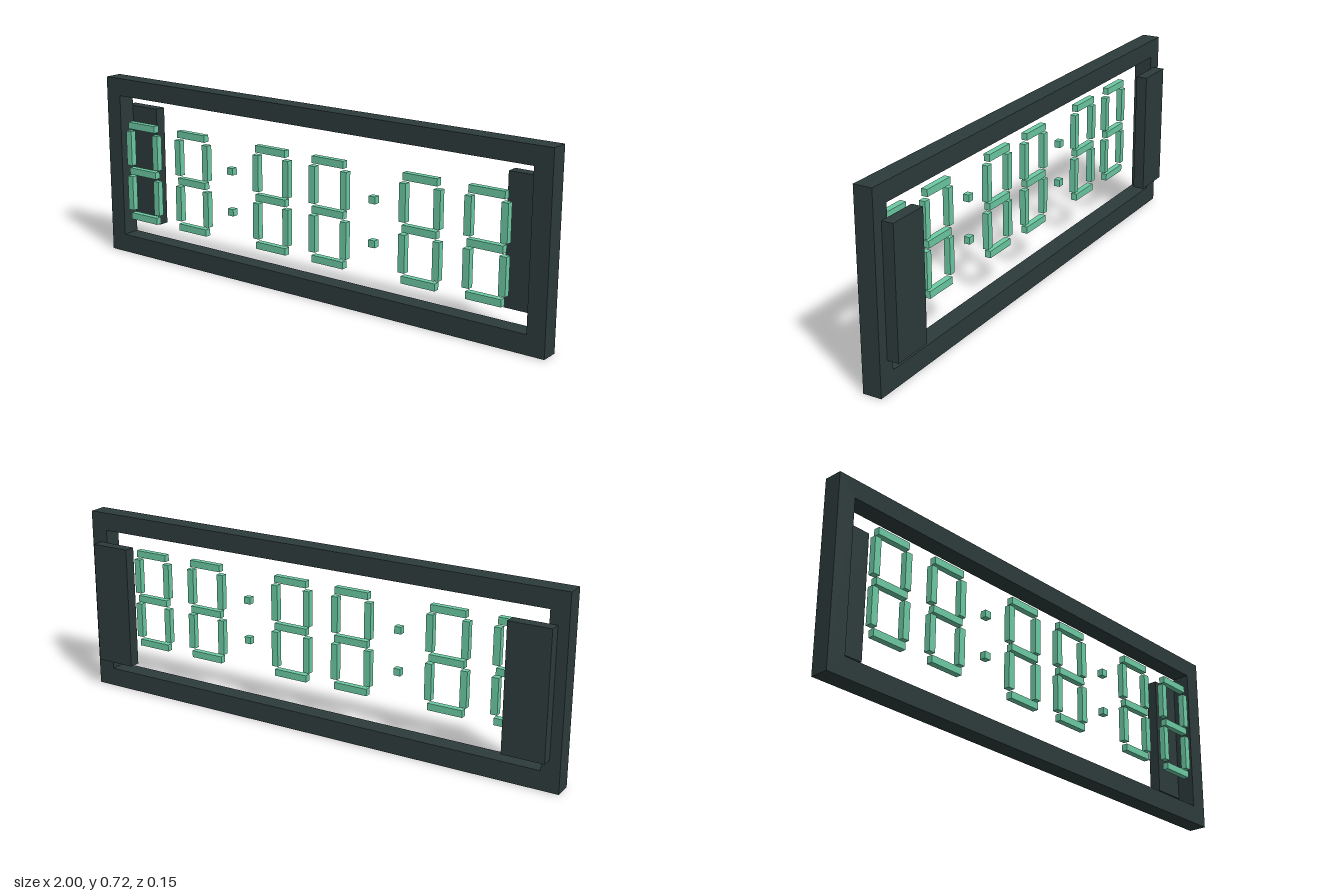
import * as THREE from 'three';

export function createModel() {
  const model = new THREE.Group();
  model.name = 'digitalClock';

  const casing = new THREE.MeshStandardMaterial({ color: 0x2d3b3b });
  casing.name = 'dark casing';
  const glow = new THREE.MeshStandardMaterial({ color: 0x6ccaa4 });
  glow.name = 'mint segment';

  function box(parent, name, material, w, h, d, x, y, z) {
    const mesh = new THREE.Mesh(new THREE.BoxGeometry(w, h, d), material);
    mesh.name = name;
    mesh.position.set(x, y, z);
    parent.add(mesh);
    return mesh;
  }

  // Open rectangular frame
  const outline = new THREE.Shape([
    new THREE.Vector2(-1, 0), new THREE.Vector2(1, 0),
    new THREE.Vector2(1, 0.72), new THREE.Vector2(-1, 0.72),
  ]);
  outline.holes.push(new THREE.Path([
    new THREE.Vector2(-0.93, 0.073), new THREE.Vector2(-0.93, 0.65),
    new THREE.Vector2(0.93, 0.65), new THREE.Vector2(0.93, 0.073),
  ]));
  const frame = new THREE.Mesh(
    new THREE.ExtrudeGeometry(outline, { depth: 0.071, bevelEnabled: false }), casing);
  frame.name = 'frame';
  frame.position.z = -0.031;
  model.add(frame);

  // Mounting blocks behind each end of the frame
  for (const side of [-1, 1]) {
    box(model, side > 0 ? 'leftMount' : 'rightMount', casing,
      0.16, 0.48, 0.044, side * 0.88, 0.36, -0.053);
  }

  // Seven-segment digits floating in front of the frame
  const midY = 0.361, z = 0.065, t = 0.027, depth = 0.024;
  [-0.781, -0.521, -0.131, 0.131, 0.521, 0.781].forEach((x, i) => {
    const digit = new THREE.Group();
    digit.name = `digit${i + 1}`;
    digit.position.set(x, midY, z);
    for (const row of [-1, 0, 1]) {
      box(digit, 'crossSegment', glow, 0.139, t, depth, 0, row * 0.186, 0);
    }
    for (const sx of [-1, 1]) {
      for (const sy of [-1, 1]) {
        box(digit, 'uprightSegment', glow, t, 0.139, depth, sx * 0.07, sy * 0.092, 0);
      }
    }
    model.add(digit);
  });

  // Separator dots between the digit pairs
  for (const x of [-0.325, 0.325]) {
    for (const dy of [-0.08, 0.08]) {
      box(model, 'separatorDot', glow, t, t, depth, x, midY + dy, z);
    }
  }

  return model;
}
